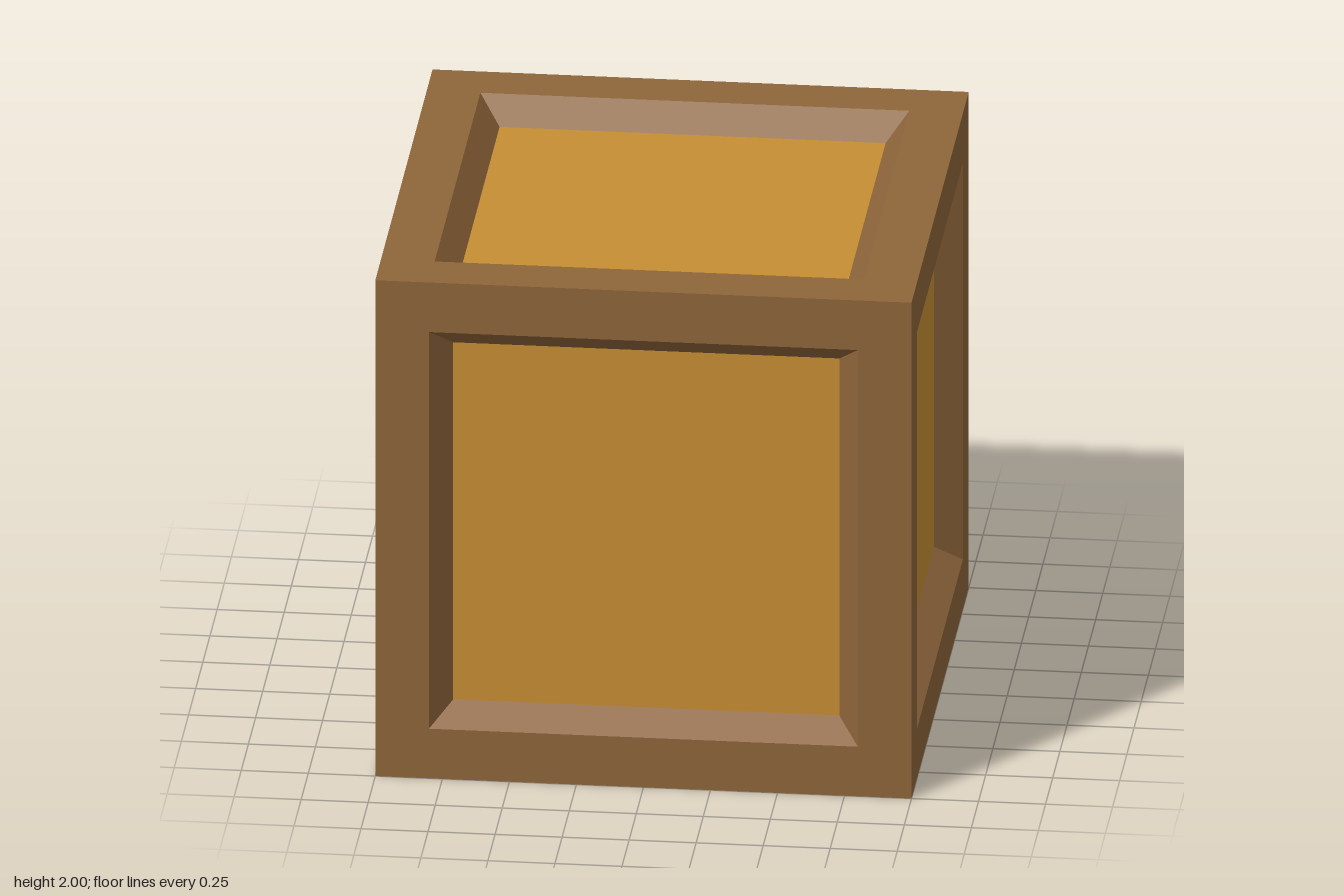
import * as THREE from 'three';

export function createModel() {
  const model = new THREE.Group();
  model.name = 'crate';

  const frameMaterial = new THREE.MeshStandardMaterial({ color: 0x8e653a, flatShading: true });
  const panelMaterial = new THREE.MeshStandardMaterial({ color: 0xc68e33, flatShading: true });

  const half = 1;       // half the crate's side
  const opening = 0.8;  // half the opening at the rim
  const inset = 0.72;   // half the recessed panel
  const floor = 0.9;    // panel distance from the centre

  // Square border and its sloped inner lip: a four-sided lathe facing +y
  const profile = [[half, half], [opening, half], [inset, floor]]
    .map(([r, y]) => new THREE.Vector2(r * Math.SQRT2, y));
  const frameGeometry = new THREE.LatheGeometry(profile, 4, Math.PI / 4);

  // Recessed panel facing +y
  const panelGeometry = new THREE.PlaneGeometry(inset * 2, inset * 2)
    .rotateX(-Math.PI / 2)
    .translate(0, floor, 0);

  // The same framed side turned to each of the six directions
  const sides = {
    top: [0, 0, 0],
    bottom: [Math.PI, 0, 0],
    front: [Math.PI / 2, 0, 0],
    back: [-Math.PI / 2, 0, 0],
    left: [0, 0, -Math.PI / 2],
    right: [0, 0, Math.PI / 2],
  };
  for (const [name, rotation] of Object.entries(sides)) {
    const side = new THREE.Group();
    side.name = `${name}Side`;
    const frame = new THREE.Mesh(frameGeometry, frameMaterial);
    frame.name = `${name}Frame`;
    const panel = new THREE.Mesh(panelGeometry, panelMaterial);
    panel.name = `${name}Panel`;
    side.add(frame, panel);
    side.rotation.set(...rotation);
    side.position.y = half;
    model.add(side);
  }
  return model;
}
